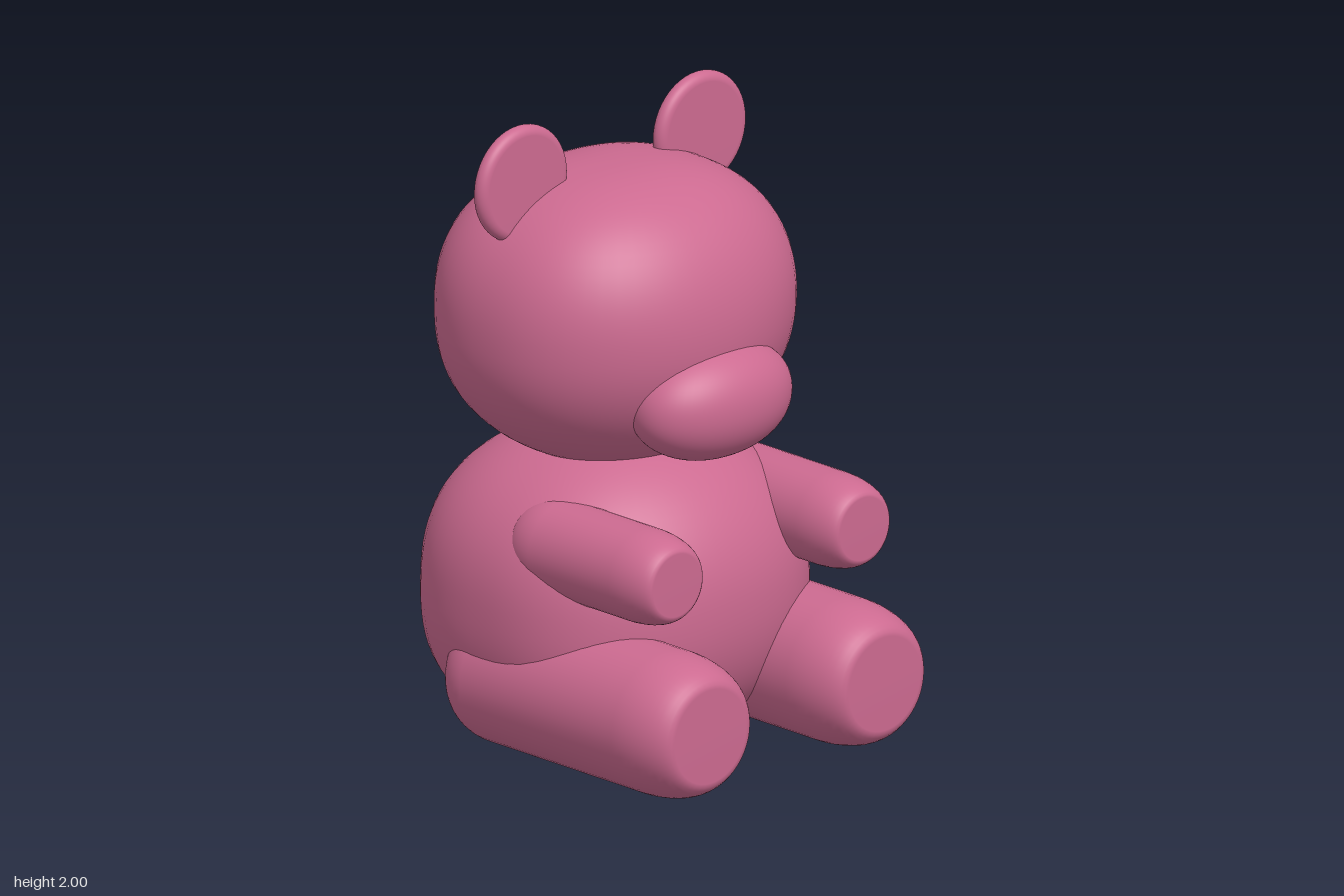
import * as THREE from 'three';
import { mergeVertices } from 'three/addons/utils/BufferGeometryUtils.js';

const plush = new THREE.MeshStandardMaterial({ color: 0xcc6a90 });
plush.name = 'rose pink';

// Rounded blob: a sphere squared off by an exponent that varies with direction
function blob(rx, ryUp, ryDown, rz, base, byY, byZ) {
  let g = new THREE.SphereGeometry(1, 64, 48);
  g.deleteAttribute('uv');
  g.deleteAttribute('normal');
  g = mergeVertices(g);
  const p = g.attributes.position;
  const d = new THREE.Vector3();
  for (let i = 0; i < p.count; i++) {
    d.fromBufferAttribute(p, i).normalize();
    const n = base + byY * d.y + byZ * d.z;
    const sum = Math.abs(d.x) ** n + Math.abs(d.y) ** n + Math.abs(d.z) ** n;
    d.multiplyScalar(sum ** (-1 / n));
    p.setXYZ(i, d.x * rx, d.y * (d.y > 0 ? ryUp : ryDown), d.z * rz);
  }
  g.computeVertexNormals();
  return g;
}

// Round bar along z with flat, softly rounded ends
function roundedBar(radius, capRadius, back, front, backDepth, frontDepth) {
  const pts = [new THREE.Vector2(0, back)];
  const steps = 10;
  const r = radius - capRadius;
  for (let i = 0; i <= steps; i++) {
    const a = (i / steps) * Math.PI / 2;
    pts.push(new THREE.Vector2(capRadius + r * Math.sin(a), back + backDepth * (1 - Math.cos(a))));
  }
  for (let i = 0; i <= steps; i++) {
    const a = (i / steps) * Math.PI / 2;
    pts.push(new THREE.Vector2(capRadius + r * Math.cos(a), front - frontDepth * (1 - Math.sin(a))));
  }
  pts.push(new THREE.Vector2(0, front));
  return new THREE.LatheGeometry(pts, 48).rotateX(Math.PI / 2);
}

export function createModel() {
  const group = new THREE.Group();
  group.name = 'sittingBear';
  const add = (name, geometry, x, y, z) => {
    const mesh = new THREE.Mesh(geometry, plush);
    mesh.name = name;
    mesh.position.set(x, y, z);
    group.add(mesh);
  };

  // Torso, head and muzzle
  add('body', blob(0.58, 0.51, 0.475, 0.538, 2.4, -0.2, -0.2), 0, 0.48, -0.128);
  add('head', blob(0.565, 0.46, 0.48, 0.493, 2.25, 0.2, -0.15), 0, 1.35, -0.13);
  add('muzzle', blob(0.29, 0.183, 0.183, 0.185, 2.1, 0, 0), 0, 1.148, 0.28);

  // Paired limbs and ears
  const arm = roundedBar(0.148, 0.1, -0.08, 0.545, 0.12, 0.15);
  const leg = roundedBar(0.228, 0.15, -0.325, 0.665, 0.12, 0.2);
  const ear = roundedBar(0.185, 0.155, -0.0275, 0.0275, 0.0275, 0.0275);
  for (const [side, s] of [['left', 1], ['right', -1]]) {
    add(side + 'Arm', arm, s * 0.392, 0.7, 0);
    add(side + 'Leg', leg, s * 0.365, 0.238, 0);
    add(side + 'Ear', ear, s * 0.375, 1.815, -0.165);
  }
  return group;
}
